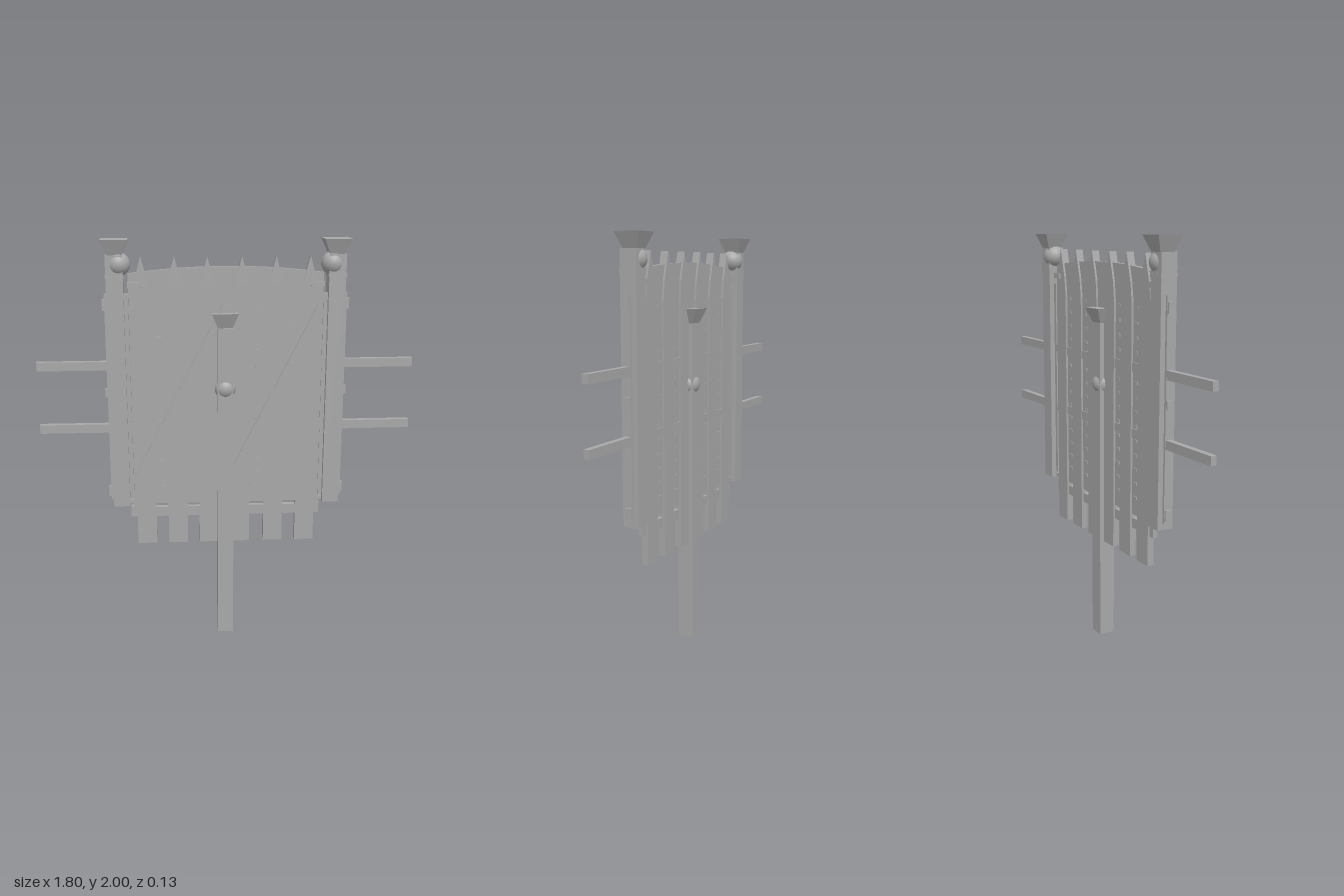
import * as THREE from 'three';

export function createModel() {
  const model = new THREE.Group();
  model.name = 'palisadeGate';
  const grey = new THREE.MeshStandardMaterial({ color: 0xa8a8a8 });
  grey.name = 'plain grey';

  const add = (name, geometry, x = 0, y = 0, z = 0) => {
    const mesh = new THREE.Mesh(geometry, grey);
    mesh.name = name;
    mesh.position.set(x, y, z);
    model.add(mesh);
    return mesh;
  };
  // Box given by its limits on each axis
  const box = (name, x0, x1, y0, y1, z0, z1) =>
    add(name, new THREE.BoxGeometry(x1 - x0, y1 - y0, z1 - z0), (x0 + x1) / 2, (y0 + y1) / 2, (z0 + z1) / 2);
  // Flat outline pushed from z0 to z1
  const slab = (name, shape, z0, z1) =>
    add(name, new THREE.ExtrudeGeometry(shape, { depth: z1 - z0, bevelEnabled: false, curveSegments: 16 }), 0, 0, z0);
  const outline = (points) => new THREE.Shape(points.map(([x, y]) => new THREE.Vector2(x, y)));
  // Four-sided cap that flares upwards
  const cap = (name, x, y, z) => {
    const g = new THREE.CylinderGeometry(0.063 * Math.SQRT2, 0.035 * Math.SQRT2, 0.07, 4).toNonIndexed();
    g.rotateY(Math.PI / 4);
    g.computeVertexNormals();
    add(name, g, x, y + 0.035, z);
  };
  const knob = (name, x, y, r) => add(name, new THREE.SphereGeometry(r, 24, 16), x, y, 0);

  // Backing sheet with an arched top and slots near the foot
  const sheet = outline([[-0.475, 0.645], [0.465, 0.645], [0.465, 0.7], [0.457, 0.7], [0.457, 1.845]]);
  sheet.quadraticCurveTo(0, 1.905, -0.457, 1.845);
  sheet.lineTo(-0.457, 0.7);
  sheet.lineTo(-0.475, 0.7);
  for (const [a, b] of [[-0.35, -0.29], [-0.195, -0.135], [0.115, 0.185], [0.28, 0.345]]) {
    const hole = new THREE.Path();
    hole.moveTo(a, 0.693).lineTo(a, 0.713).lineTo(b, 0.713).lineTo(b, 0.693).closePath();
    sheet.holes.push(hole);
  }
  slab('backingSheet', sheet, -0.008, 0.0165);

  // Pointed planks
  const planks = [[-0.445, -0.35], [-0.29, -0.195], [-0.135, -0.045], [0.03, 0.115], [0.185, 0.28], [0.345, 0.44]];
  planks.forEach(([a, b]) => {
    const c = (a + b) / 2;
    slab('plank', outline([[a, 0.5], [b, 0.5], [b, 1.7], [c + 0.036, 1.79], [c, 1.925], [c - 0.036, 1.79], [a, 1.7]]), -0.018, 0.015);
    slab('plankTip', outline([[c - 0.035, 1.79], [c + 0.035, 1.79], [c, 1.925]]), 0.01, 0.02);
  });

  // Lacing along the seams
  for (const x of [-0.32, -0.165, 0.15, 0.313])
    for (let i = 0; i < 14; i++) box('lacing', x - 0.012, x + 0.012, 0.79 + i * 0.068, 0.805 + i * 0.068, -0.012, 0.018);

  // Crossed braces on the front
  const brace = (x0, y0, x1, y1) => {
    const m = add('brace', new THREE.BoxGeometry(Math.hypot(x1 - x0, y1 - y0), 0.02, 0.014), (x0 + x1) / 2, (y0 + y1) / 2, 0.021);
    m.rotation.z = Math.atan2(y1 - y0, x1 - x0);
  };
  for (const s of [-1, 1]) {
    brace(s * 0.44, 1.69, s * 0.02, 0.86);
    brace(s * 0.44, 0.86, s * 0.008, 1.7);
  }

  // Carrying bars
  for (const y of [1.412, 1.105]) box('crossBar', -0.9, 0.9, y - 0.021, y + 0.021, -0.014, 0.015);

  // Side posts with their fittings
  for (const s of [-1, 1]) {
    const part = (name, a, b, ...rest) => box(name, Math.min(s * a, s * b), Math.max(s * a, s * b), ...rest);
    part('sidePost', 0.478, 0.558, 0.71, 1.93, -0.04, 0.04);
    part('sidePostBand', 0.475, 0.561, 1.825, 1.84, -0.043, 0.043);
    part('sideRail', 0.458, 0.57, 0.74, 1.75, -0.015, 0.016);
    for (const [y0, y1] of [[0.74, 0.82], [1.26, 1.3], [1.66, 1.74]])
      part('tab', 0.55, 0.581, y0 + 0.015 * (y1 - y0 > 0.05), y1 - 0.015 * (y1 - y0 > 0.05), -0.013, 0.014);
    part('latch', 0.4, 0.46, 1.778, 1.804, -0.025, 0.025);
    part('latch', 0.445, 0.48, 0.715, 0.735, -0.014, 0.016);
    cap('sidePostCap', s * 0.515, 1.93, -0.006);
    knob('sideKnob', s * 0.499, 1.887, 0.055);
  }

  // Middle post
  box('middlePost', -0.045, 0.033, 0, 1.59, -0.04, 0.04);
  cap('middlePostCap', -0.007, 1.59, -0.003);
  knob('middleKnob', -0.006, 1.295, 0.054);

  return model;
}
